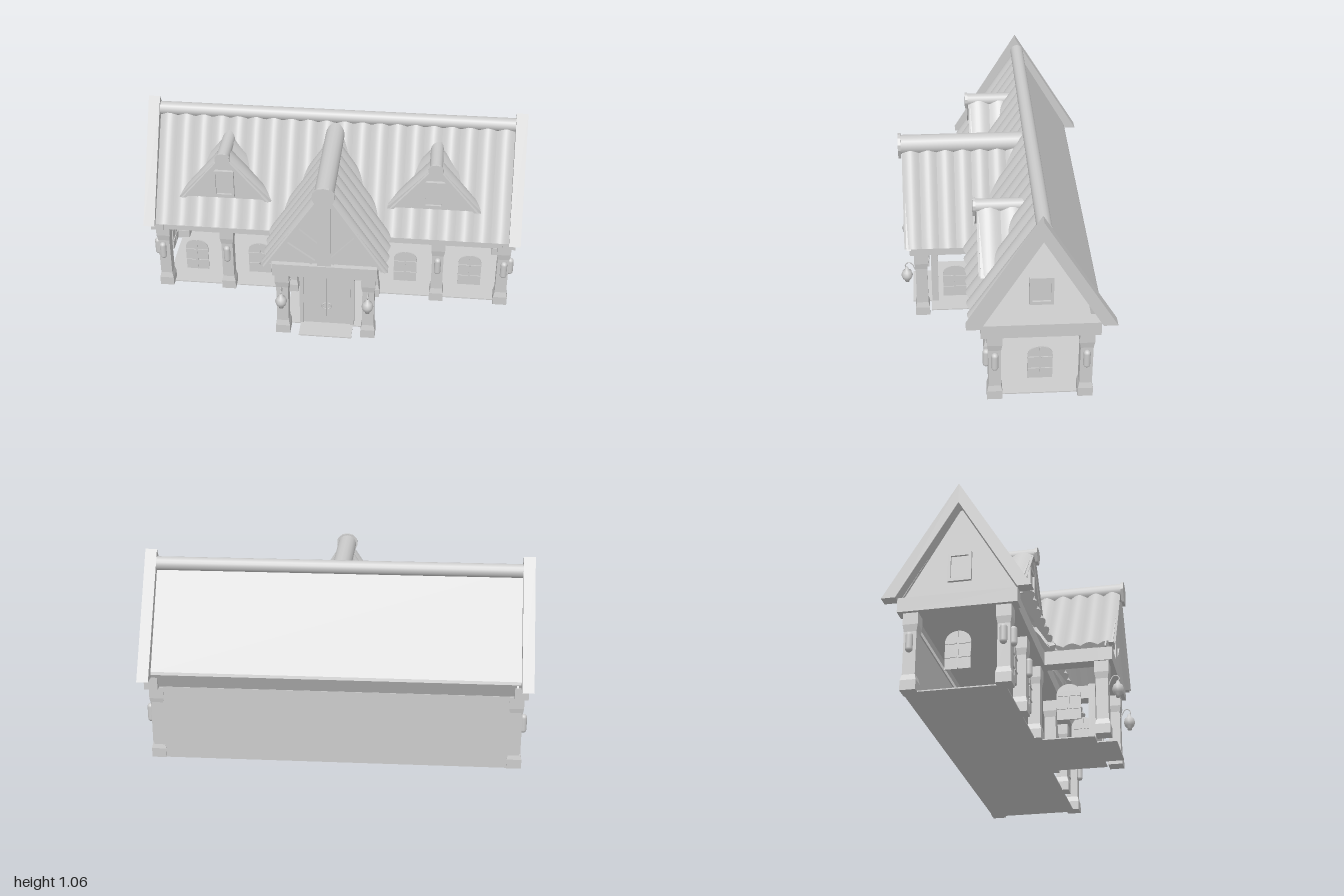
import * as THREE from 'three';
import { mergeGeometries } from 'three/addons/utils/BufferGeometryUtils.js';

const stone = new THREE.MeshStandardMaterial({ color: 0xcccccc, side: THREE.DoubleSide });
stone.name = 'pale grey';

function add(parent, name, geometry, x = 0, y = 0, z = 0) {
  const mesh = new THREE.Mesh(geometry, stone);
  mesh.name = name;
  mesh.position.set(x, y, z);
  parent.add(mesh);
  return mesh;
}

// Box given by its limits on each axis
function block(parent, name, x0, x1, y0, y1, z0, z1) {
  return add(parent, name, new THREE.BoxGeometry(x1 - x0, y1 - y0, z1 - z0),
    (x0 + x1) / 2, (y0 + y1) / 2, (z0 + z1) / 2);
}

// Outline in x, y pushed along z
function slab(points, depth, holes = []) {
  const shape = new THREE.Shape(points.map(p => new THREE.Vector2(...p)));
  for (const h of holes) shape.holes.push(new THREE.Path(h.map(p => new THREE.Vector2(...p))));
  return new THREE.ExtrudeGeometry(shape, { depth, bevelEnabled: false });
}

// Roof of rounded tile columns: place(along, out, y) maps to space,
// start(y) clips the sheet where it meets another roof
function tiles(place, start, end, pitch, top, foot, bulge) {
  const parts = [], [o0, y0] = top, [o1, y1] = foot;
  const len = Math.hypot(o1 - o0, y0 - y1), no = (y0 - y1) / len, ny = (o1 - o0) / len;
  const from = Math.min(start(y0), start(y1));
  const count = Math.round((end - from) / pitch), w = (end - from) / count;
  for (let c = 0; c < count; c++) {
    const g = new THREE.PlaneGeometry(1, 1, 8, 10), p = g.attributes.position;
    for (let i = 0; i < p.count; i++) {
      const u = p.getX(i) + 0.5, v = 0.5 - p.getY(i);
      const y = y0 + (y1 - y0) * v, s = Math.max(from + (c + u) * w, start(y));
      const lift = bulge * Math.sin(Math.PI * Math.min(1, Math.max(0, (s - from) / w - c)));
      p.setXYZ(i, ...place(s, o0 + (o1 - o0) * v + no * lift, y + ny * lift));
    }
    g.computeVertexNormals();
    parts.push(g);
  }
  return mergeGeometries(parts);
}

// Post with a wider foot and head
function post(parent, x, z) {
  const levels = [0, 0.05, 0.08, 0.3, 0.335, 0.395], widths = [0.076, 0.076, 0.062, 0.062, 0.074, 0.074];
  let g = new THREE.BoxGeometry(1, 5, 1, 1, 5, 1);
  const p = g.attributes.position;
  for (let i = 0; i < p.count; i++) {
    const k = Math.round(p.getY(i) + 2.5);
    p.setXYZ(i, p.getX(i) * widths[k], levels[k], p.getZ(i) * widths[k]);
  }
  g = g.toNonIndexed();
  g.computeVertexNormals();
  add(parent, 'post', g, x, 0, z);
}

// Arched window facing +z, standing on its sill
function archedWindow(parent, x, z, turn = 0) {
  const w = new THREE.Group();
  w.name = 'archedWindow';
  const s = new THREE.Shape();
  s.moveTo(-0.062, 0);
  s.lineTo(0.062, 0);
  s.lineTo(0.062, 0.14);
  s.absellipse(0, 0.14, 0.062, 0.055, 0, Math.PI, false);
  s.lineTo(-0.062, 0);
  add(w, 'pane', new THREE.ExtrudeGeometry(s, { depth: 0.008, bevelEnabled: false, curveSegments: 10 }), 0, 0, -0.004);
  for (const side of [-1, 1]) for (const y of [0.06, 0.13])
    add(w, 'glazingBar', new THREE.BoxGeometry(0.056, 0.007, 0.018), side * 0.033, y, 0);
  add(w, 'mullion', new THREE.BoxGeometry(0.006, 0.19, 0.014), 0, 0.096, 0);
  w.position.set(x, 0.1, z);
  w.rotation.y = turn;
  parent.add(w);
}

// Square attic window with a raised frame, facing +z
function atticWindow(parent, x, y, z, w, h, turn = 0) {
  const g = new THREE.Group();
  g.name = 'atticWindow';
  const rect = (a, b) => [[-a, -b], [a, -b], [a, b], [-a, b]];
  add(g, 'frame', slab(rect(w / 2, h / 2), 0.03, [rect(w / 2 - 0.014, h / 2 - 0.018)]), 0, 0, -0.015);
  add(g, 'pane', new THREE.BoxGeometry(w - 0.02, h - 0.02, 0.008));
  g.position.set(x, y, z);
  g.rotation.y = turn;
  parent.add(g);
}

// Round ridge log along z with a faceted cap
function ridgeLog(parent, x, y, z0, z1, r) {
  const log = new THREE.CylinderGeometry(r, r, z1 - z0, 16).rotateX(Math.PI / 2);
  add(parent, 'ridgeLog', log, x, y, (z0 + z1) / 2);
  const k = r * 1.15;
  const cap = [[-0.5, -1.2], [0.5, -1.2], [1, -0.1], [0.95, 0.45], [0.5, 0.9], [0, 1], [-0.5, 0.9], [-0.95, 0.45], [-1, -0.1]];
  add(parent, 'ridgeCap', slab(cap.map(([a, b]) => [a * k, b * k]), 0.014), x, y, z1 - 0.006);
}

// Cross gable: two tiled slopes, barge boards, wall and ridge log
function crossGable(parent, name, cx, halfW, eave, apex, front, r, wallZ) {
  const g = new THREE.Group();
  g.name = name;
  const start = y => -0.175 + (0.98 - y) / 1.53;
  for (const s of [-1, 1])
    add(g, 'tiledSlope', tiles((a, o, y) => [s * o, y, a], start, front, 0.095,
      [0.02, apex - 0.03], [halfW - 0.015, eave], 0.018));
  const inner = halfW - 0.035, top = apex - 0.05;
  add(g, 'bargeBoards', slab([[-halfW, eave], [-inner, eave], [0, top], [inner, eave], [halfW, eave], [0, apex]], 0.025), 0, 0, front - 0.035);
  add(g, 'gableWall', slab([[-inner, eave], [inner, eave], [0, top]], 0.008), 0, 0, wallZ);
  ridgeLog(g, 0, apex - 0.025, -0.125, front + 0.01, r);
  g.position.x = cx;
  parent.add(g);
  return g;
}

// Plank between two points in x, y
function brace(parent, x0, y0, x1, y1, width, z) {
  const m = add(parent, 'brace', new THREE.BoxGeometry(Math.hypot(x1 - x0, y1 - y0), width, 0.02), (x0 + x1) / 2, (y0 + y1) / 2, z);
  m.rotation.z = Math.atan2(y1 - y0, x1 - x0);
}

export function createModel() {
  const house = new THREE.Group();
  house.name = 'house';

  // Floors and back wall
  block(house, 'floor', -0.93, 0.93, 0, 0.006, -0.41, 0.07);
  block(house, 'bayFloor', -0.225, 0.225, 0, 0.006, 0.07, 0.37);
  block(house, 'doorstep', -0.14, 0.14, 0, 0.006, 0.37, 0.47);
  block(house, 'atticFloor', -0.92, 0.92, 0.455, 0.462, -0.4, 0.1);
  block(house, 'backWall', -0.95, 0.95, 0, 0.4, -0.415, -0.407);

  // Beams
  block(house, 'frontBeam', -0.91, 0.91, 0.395, 0.467, 0.05, 0.125);
  block(house, 'bayBeam', -0.27, 0.27, 0.395, 0.467, 0.4, 0.475);
  for (const s of [-1, 1]) {
    const side = (name, a, b, z0, z1) => block(house, name, Math.min(s * a, s * b), Math.max(s * a, s * b), 0.395, 0.469, z0, z1);
    side('sideBeam', 0.91, 0.98, -0.445, 0.135);
    side('baySideBeam', 0.195, 0.268, 0.1, 0.41);

    // Posts with rounded pegs
    for (const [x, z] of [[0.925, -0.382], [0.925, 0.067], [0.575, 0.067], [0.225, 0.067], [0.225, 0.417]]) post(house, s * x, z);
    for (const [x, z] of [[0.965, -0.382], [0.965, 0.067], [0.93, 0.107], [0.575, 0.107]])
      add(house, 'peg', new THREE.CapsuleGeometry(0.018, 0.066, 5, 12), s * x, 0.24, z);

    // Windows
    for (const x of [0.75, 0.4]) archedWindow(house, s * x, 0.067);
    archedWindow(house, s * 0.925, -0.157, Math.PI / 2);
    archedWindow(house, s * 0.225, 0.242, Math.PI / 2);
    atticWindow(house, s * 0.925, 0.634, -0.157, 0.116, 0.154, Math.PI / 2);

    // Lantern on a curved hook
    const lantern = new THREE.Group();
    lantern.name = 'lantern';
    const profile = [[0, -0.045], [0.012, -0.042], [0.012, -0.032], [0.024, -0.021], [0.031, 0], [0.024, 0.022], [0.012, 0.031], [0.008, 0.045], [0, 0.052]];
    add(lantern, 'lamp', new THREE.LatheGeometry(profile.map(p => new THREE.Vector2(...p)), 16));
    const hook = new THREE.CatmullRomCurve3([[0, 0.045, 0], [0, 0.058, 0.008], [0, 0.075, -0.002], [0, 0.076, -0.02], [0, 0.055, -0.036], [0, 0.03, -0.045]].map(p => new THREE.Vector3(...p)));
    add(lantern, 'hook', new THREE.TubeGeometry(hook, 20, 0.003, 6));
    lantern.position.set(s * 0.225, 0.245, 0.495);
    house.add(lantern);

    // Gable boards at each end of the main roof
    const boards = slab([[0.205, 0.465], [0.137, 0.465], [-0.155, 0.955], [-0.45, 0.465], [-0.52, 0.465], [-0.155, 1.06]], 0.06);
    add(house, 'gableBoards', boards.rotateY(-Math.PI / 2), s > 0 ? 1 : -0.94);
  }

  // End gable wall
  add(house, 'endGableWall', slab([[0.15, 0.465], [-0.155, 0.975], [-0.46, 0.465]], 0.008).rotateY(-Math.PI / 2), -0.918);

  // Main roof
  add(house, 'frontRoof', tiles((a, o, y) => [a, y, o], () => -0.94, 0.94, 0.094, [-0.145, 0.965], [0.18, 0.465], 0.02));
  const backRoof = slab([[-0.155, 1], [-0.45, 0.495], [-0.455, 0.48], [-0.41, 0.395], [-0.4, 0.395], [-0.437, 0.48], [-0.145, 0.98]], 1.88);
  add(house, 'backRoof', backRoof.rotateY(-Math.PI / 2), 0.94);
  add(house, 'mainRidge', new THREE.CylinderGeometry(0.036, 0.036, 1.88, 16).rotateZ(Math.PI / 2), 0, 0.986, -0.163);

  // Entrance gable with timbering
  const bay = crossGable(house, 'entranceGable', 0, 0.325, 0.465, 0.94, 0.5, 0.05, 0.44);
  add(bay, 'kingPost', new THREE.BoxGeometry(0.07, 0.4, 0.024), -0.003, 0.665, 0.455);
  brace(bay, -0.03, 0.57, -0.17, 0.695, 0.035, 0.452);
  brace(bay, -0.06, 0.48, -0.215, 0.595, 0.03, 0.452);
  brace(bay, 0.03, 0.485, 0.175, 0.645, 0.04, 0.452);

  // Dormers
  for (const x of [-0.565, 0.54]) {
    const dormer = crossGable(house, 'dormer', x, 0.245, 0.61, 0.895, 0.135, 0.034, 0.1);
    atticWindow(dormer, -0.005, 0.705, 0.11, 0.11, 0.16);
  }

  // Double door with frame and handles
  const door = new THREE.Group();
  door.name = 'door';
  add(door, 'doorFrame', slab([[-0.145, 0], [-0.145, 0.325], [0.145, 0.325], [0.145, 0], [0.125, 0], [0.125, 0.31], [-0.125, 0.31], [-0.125, 0]], 0.036), 0, 0, 0.33);
  for (const s of [-1, 1]) {
    add(door, 'doorLeaf', new THREE.BoxGeometry(0.123, 0.308, 0.014), s * 0.0625, 0.156, 0.352);
    add(door, 'handle', new THREE.TorusGeometry(0.018, 0.004, 6, 12, Math.PI).rotateZ(s > 0 ? -Math.PI / 2 : Math.PI / 2), s * 0.006, 0.125, 0.363);
  }
  house.add(door);
  return house;
}
